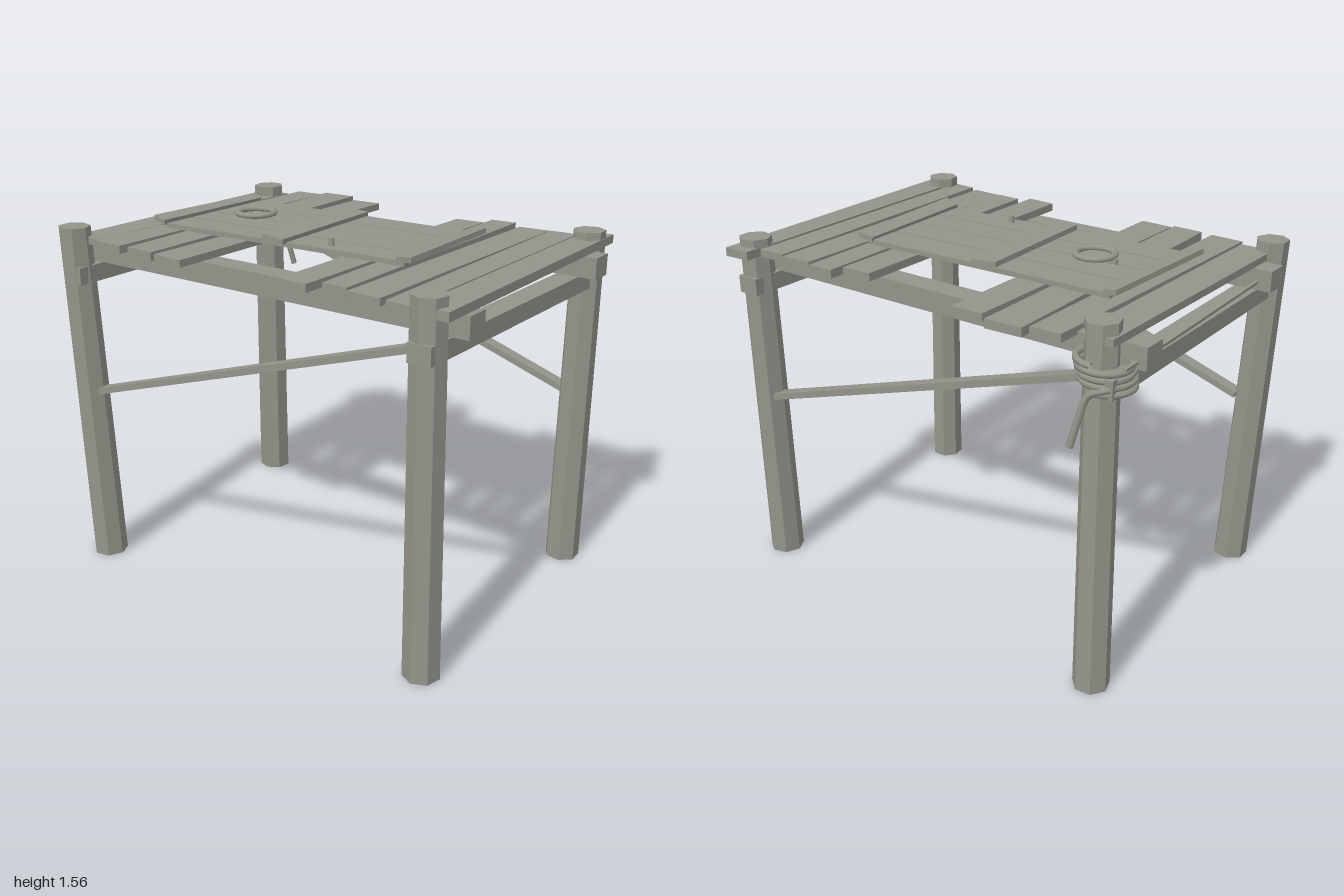
import * as THREE from 'three';

const wood = new THREE.MeshStandardMaterial({ color: 0x94948b, side: THREE.DoubleSide });
wood.name = 'weathered grey';

function add(group, name, geometry) {
  const mesh = new THREE.Mesh(geometry, wood);
  mesh.name = name;
  group.add(mesh);
  return mesh;
}

function faceted(geometry) {
  const g = geometry.toNonIndexed();
  g.computeVertexNormals();
  return g;
}

// Flat board from an outline of [x, z] corners between two heights
function board(corners, y0, y1) {
  const shape = new THREE.Shape(corners.map(([x, z]) => new THREE.Vector2(x, -z)));
  const g = new THREE.ExtrudeGeometry(shape, { depth: y1 - y0, bevelEnabled: false });
  return g.rotateX(-Math.PI / 2).translate(0, y0, 0);
}

// Post leaning from its foot to its top, open underneath
function post(group, foot, top, height, spin) {
  const g = new THREE.CylinderGeometry(0.07, 0.077, height, 7, 4, true, spin);
  g.translate(0, height / 2, 0);
  const p = g.attributes.position;
  for (let i = 0; i < p.count; i++) {
    const t = p.getY(i) / height;
    p.setX(i, p.getX(i) + foot[0] + (top[0] - foot[0]) * t);
    p.setZ(i, p.getZ(i) + foot[1] + (top[1] - foot[1]) * t);
  }
  add(group, 'post', faceted(g));
  const cap = new THREE.CircleGeometry(0.07, 7, spin - Math.PI / 2);
  cap.rotateX(-Math.PI / 2).translate(top[0], height, top[1]);
  add(group, 'postTop', cap);
}

// Square bar between two points
function bar(group, name, a, b, width, thick) {
  const from = new THREE.Vector3(...a), to = new THREE.Vector3(...b);
  const mesh = add(group, name, new THREE.BoxGeometry(width, thick, from.distanceTo(to)));
  mesh.position.copy(from).add(to).multiplyScalar(0.5);
  mesh.lookAt(to);
}

export function createModel() {
  const model = new THREE.Group();
  model.name = 'plankPlatform';

  // Corner posts
  post(model, [-0.635, 0.87], [-0.645, 0.865], 1.54, 0.2);
  post(model, [0.58, 0.87], [0.593, 0.878], 1.535, 0.5);
  post(model, [-0.64, -0.86], [-0.665, -0.908], 1.54, 0.9);
  post(model, [0.58, -0.86], [0.54, -0.83], 1.54, 0.3);

  // Rails through the posts, long bearers and diagonal braces
  bar(model, 'frontRail', [-0.715, 1.337, 0.87], [0.665, 1.335, 0.87], 0.1, 0.075);
  bar(model, 'backRail', [-0.715, 1.337, -0.885], [0.66, 1.337, -0.9], 0.1, 0.075);
  bar(model, 'bearer', [-0.527, 1.42, -1], [-0.527, 1.42, 0.99], 0.105, 0.09);
  bar(model, 'bearer', [0.468, 1.42, -1], [0.468, 1.42, 1], 0.105, 0.09);
  bar(model, 'rightBrace', [0.597, 0.81, 0.82], [0.597, 1.35, -0.83], 0.06, 0.028);
  bar(model, 'leftBrace', [-0.648, 1.345, 0.84], [-0.648, 0.81, -0.82], 0.06, 0.028);

  // Deck planks: left x, right x, back and front z at the left, then at the right
  const planks = [
    [-0.65, 0.6, -0.92, -0.775, -0.905, -0.762],
    [-0.685, 0.67, -0.765, -0.615, -0.735, -0.605],
    [-0.695, 0.71, -0.565, -0.425, -0.595, -0.435],
    [-0.7, 0.67, -0.41, -0.26, -0.39, -0.25],
    [-0.69, 0.592, 0.225, 0.36, 0.235, 0.37],
    [-0.65, 0.66, 0.4, 0.515, 0.38, 0.495],
    [-0.67, 0.63, 0.525, 0.675, 0.535, 0.675],
    [-0.695, 0.63, 0.71, 0.82, 0.685, 0.81],
    [-0.69, 0.705, 0.835, 0.97, 0.82, 0.94],
  ];
  planks.forEach(([x0, x1, lb, lf, rb, rf], i) => {
    const lift = (i % 3) * 0.003;
    add(model, 'deckPlank', board([[x0, lf], [x1, rf], [x1 - 0.008, rb], [x0 + 0.008, lb]],
      1.465, 1.496 + lift));
  });

  // Hatch boards: left and right x at the back, then at the front
  const hatch = new THREE.Group();
  hatch.name = 'hatch';
  model.add(hatch);
  const hatchBoards = [
    [-0.338, -0.192, -0.28, -0.148, 0.52], [-0.182, -0.04, -0.142, -0.002, 0.49],
    [-0.032, 0.118, 0.004, 0.152, 0.5], [0.126, 0.275, 0.162, 0.31, 0.5],
  ];
  for (const [b0, b1, f0, f1, zf] of hatchBoards) {
    add(hatch, 'hatchBoard', board([[f0, zf], [f1, zf - 0.01], [b1, -0.69], [b0, -0.68]], 1.503, 1.524));
  }

  // Hatch battens, the outer two tipped up at their free edge
  const battens = [
    [[[-0.315, 0.575], [0.315, 0.54], [0.315, 0.465], [-0.29, 0.49]], 0.52, -0.15],
    [[[-0.335, -0.035], [0.305, -0.06], [0.295, -0.175], [-0.325, -0.15]], -0.1, 0.06],
    [[[-0.355, -0.68], [0.28, -0.665], [0.285, -0.725], [-0.34, -0.755]], -0.71, 0.15],
  ];
  for (const [corners, z, tilt] of battens) {
    const g = board(corners.map(([x, zz]) => [x, zz - z]), 0, 0.022);
    const batten = add(hatch, 'hatchBatten', g);
    batten.position.set(0, 1.523, z);
    batten.rotation.x = tilt;
  }

  // Pull ring, its staple and a peg
  const ring = add(hatch, 'pullRing', new THREE.TorusGeometry(0.08, 0.015, 8, 28));
  ring.rotation.x = Math.PI / 2;
  ring.scale.z = 0.8;
  ring.position.set(-0.03, 1.55, -0.43);
  bar(hatch, 'ringStaple', [-0.03, 1.53, -0.535], [-0.03, 1.53, -0.5], 0.012, 0.03);
  const peg = add(hatch, 'peg', new THREE.CylinderGeometry(0.011, 0.014, 0.035, 8));
  peg.position.set(-0.245, 1.54, 0.145);

  // Rope wound around the back right post
  const coil = [];
  const turns = 4, steps = 16;
  for (let i = 0; i <= turns * steps; i++) {
    const a = (i / steps) * Math.PI * 2;
    const r = 0.1 + 0.008 * Math.sin(i * 0.35);
    coil.push(new THREE.Vector3(0.572 + r * Math.cos(a), 1.415 - 0.1 * i / (turns * steps) + 0.008 * Math.sin(a),
      -0.865 + r * Math.sin(a)));
  }
  add(model, 'ropeCoil', new THREE.TubeGeometry(new THREE.CatmullRomCurve3(coil), 150, 0.014, 6));

  // Loose rope end
  const tail = new THREE.CatmullRomCurve3([[0.58, 1.34, -0.965], [0.655, 1.335, -0.93], [0.675, 1.3, -0.86],
    [0.695, 1.21, -0.835], [0.714, 1.105, -0.815]].map((p) => new THREE.Vector3(...p)));
  add(model, 'ropeEnd', new THREE.TubeGeometry(tail, 24, 0.014, 6));

  // Thin line tied between the back posts
  bar(model, 'backLine', [-0.61, 1.41, -0.935], [0.6, 1.4, -0.962], 0.012, 0.012);

  return model;
}
